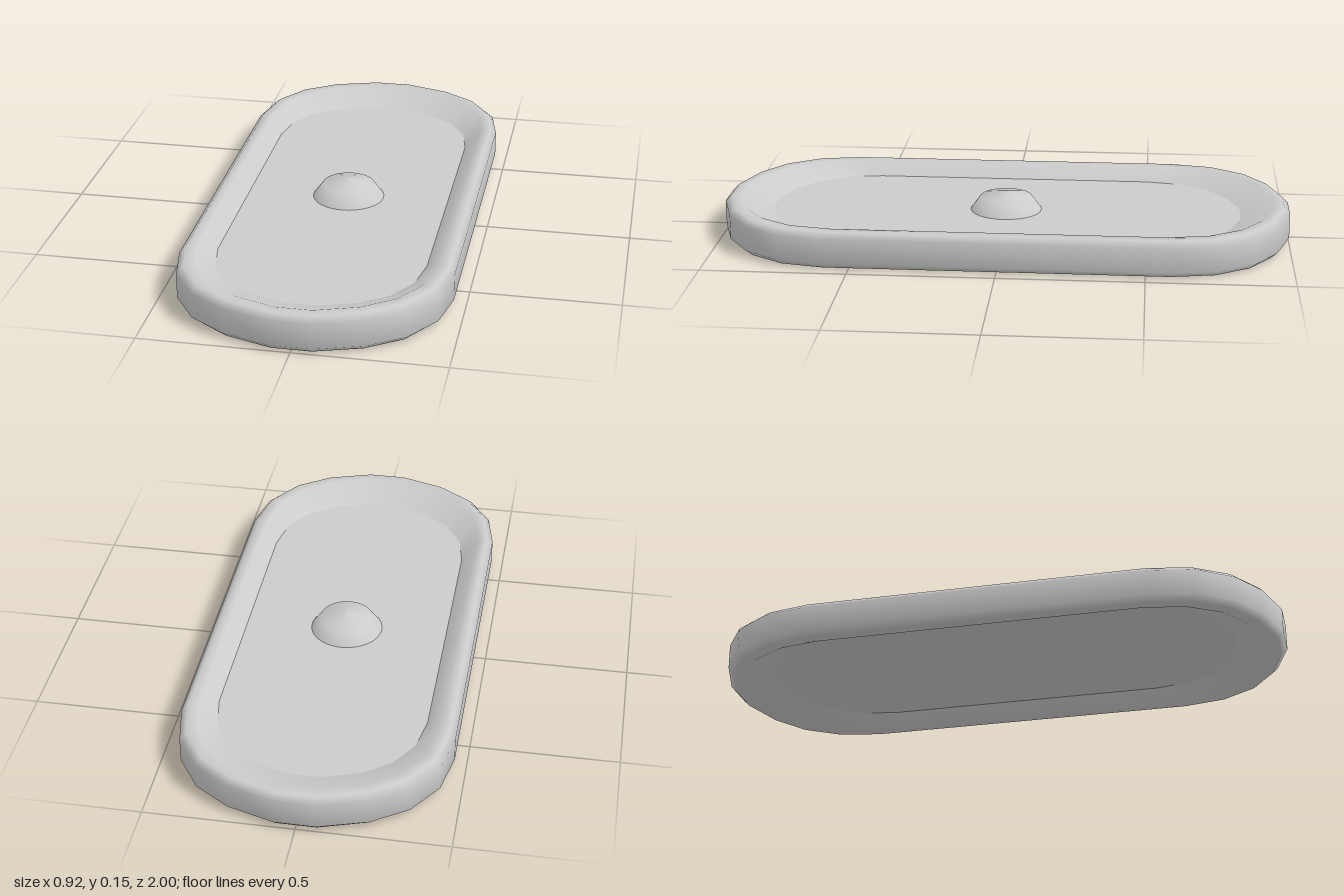
import * as THREE from 'three';

// quarter of the stadium outline, as fractions of half width and half length
const QUARTER = [[1, 0.6], [0.935, 0.75], [0.76, 0.87], [0.5, 0.95], [0.15, 1]];

// full outline, counter-clockwise seen from above
function outline() {
  const back = QUARTER.map(([x, z]) => [x, -z]);
  const backLeft = QUARTER.map(([x, z]) => [-x, -z]).reverse();
  const half = [...back, ...backLeft];
  return [...half, ...half.map(([x, z]) => [-x, -z])];
}

function indexed(positions, indices) {
  const geo = new THREE.BufferGeometry();
  geo.setAttribute('position', new THREE.Float32BufferAttribute(positions, 3));
  geo.setIndex(indices);
  geo.computeVertexNormals();
  return geo;
}

// skin a stack of outlines, each given as [half width, half length, y]
function loft(rings) {
  const loop = outline(), n = loop.length;
  const pos = [], idx = [];
  rings.forEach(([w, l, y]) => loop.forEach(([x, z]) => pos.push(x * w, y, z * l)));
  for (let i = 0; i < rings.length - 1; i++) {
    for (let j = 0; j < n; j++) {
      const a = i * n + j, b = i * n + (j + 1) % n;
      idx.push(a, b, a + n, b, b + n, a + n);
    }
  }
  return indexed(pos, idx);
}

// flat panel filling one outline, facing up or down
function panel([w, l, y], up) {
  const loop = outline(), n = loop.length;
  const pos = [0, y, 0], idx = [];
  loop.forEach(([x, z], j) => {
    const a = 1 + j, b = 1 + (j + 1) % n;
    pos.push(x * w, y, z * l);
    idx.push(0, ...(up ? [a, b] : [b, a]));
  });
  return indexed(pos, idx);
}

export function createModel() {
  const group = new THREE.Group();
  const material = new THREE.MeshStandardMaterial({ color: 0xcccccc });
  const add = (name, geometry) => {
    const mesh = new THREE.Mesh(geometry, material);
    mesh.name = name;
    group.add(mesh);
  };

  // rim section from the underside recess, around the outside, to the tray floor
  const rings = [
    [0.355, 0.83, 0.046],
    [0.405, 0.945, 0],
    [0.44, 0.98, 0],
    [0.46, 1, 0.02],
    [0.46, 1, 0.107],
    [0.44, 0.98, 0.127],
    [0.405, 0.945, 0.127],
    [0.355, 0.83, 0.081],
  ];
  add('rim', loft(rings));
  add('floor', panel(rings[rings.length - 1], true));
  add('underside', panel(rings[0], false));

  // low domed button in the middle of the floor
  const dome = [[0.126, 0.081], [0.092, 0.128], [0, 0.147]].map(p => new THREE.Vector2(...p));
  add('button', new THREE.LatheGeometry(dome, 32));

  return group;
}
